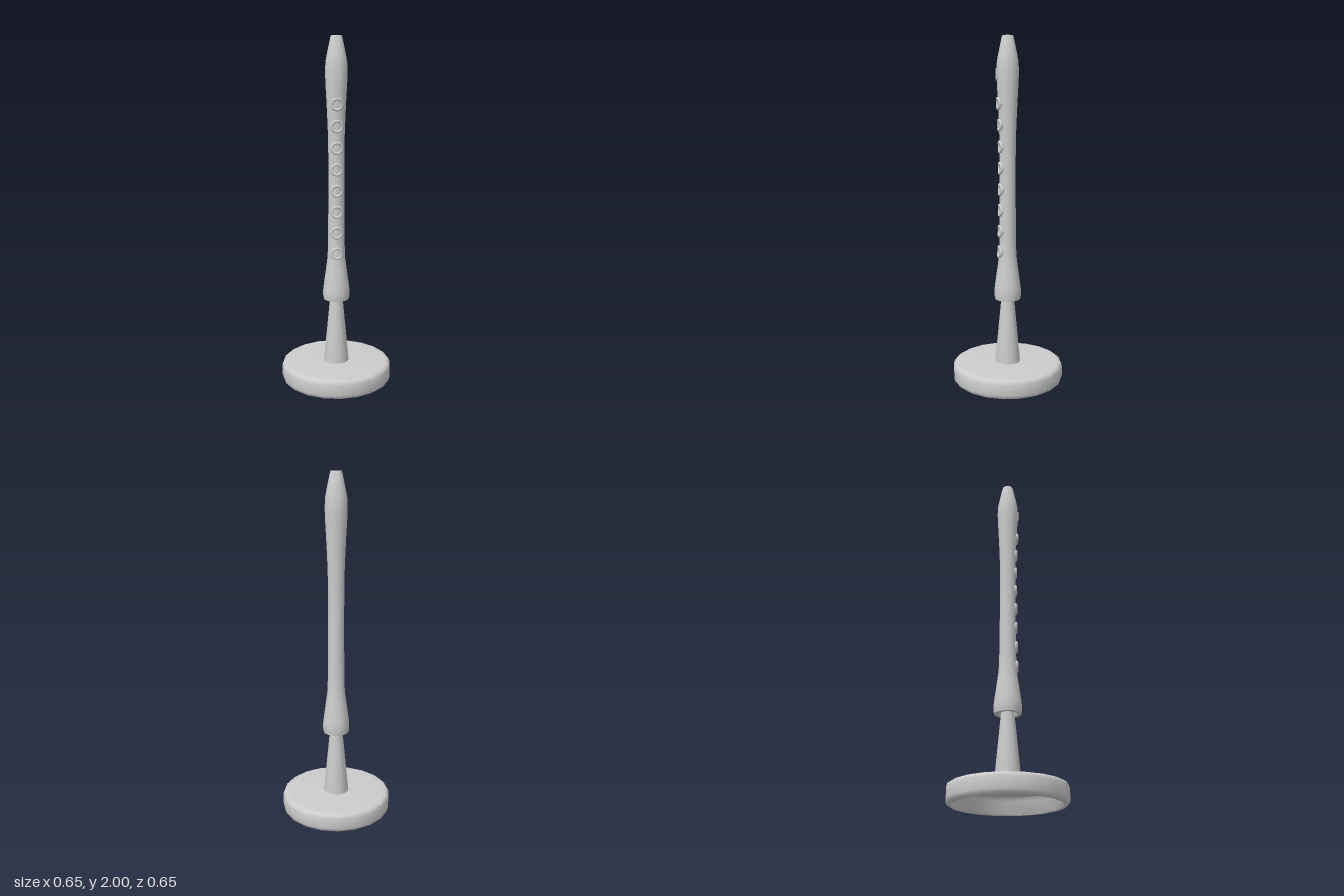
import * as THREE from 'three';
import { toCreasedNormals } from 'three/addons/utils/BufferGeometryUtils.js';

export function createModel() {
  const model = new THREE.Group();
  model.name = 'recorderOnStand';
  const grey = new THREE.MeshStandardMaterial({ color: 0xcccccc, side: THREE.DoubleSide });
  grey.name = 'plain grey';

  const add = (name, geometry, parent = model) => {
    const mesh = new THREE.Mesh(geometry, grey);
    mesh.name = name;
    parent.add(mesh);
    return mesh;
  };
  // Turned part from [radius, height] pairs, listed from the bottom up
  const turned = (profile, sides, crease = 0.75) => toCreasedNormals(
    new THREE.LatheGeometry(profile.map(([r, y]) => new THREE.Vector2(r, y)), sides), crease);

  // Base: a round dish, hollow underneath, with a softened rim
  add('standBase', turned([
    [0.06, 0.095], [0.275, 0.095], [0.288, 0.075], [0.29, 0.008], [0.296, 0],
    [0.308, 0], [0.319, 0.008], [0.324, 0.025], [0.324, 0.085],
    [0.319, 0.1], [0.308, 0.108], [0.29, 0.11], [0, 0.11],
  ], 20));

  // Tapered peg that reaches up into the bore
  add('standPeg', turned([[0.074, 0.095], [0.074, 0.11], [0.037, 0.5], [0.03, 0.58], [0, 0.58]], 20));

  // Recorder body: bore, foot bell, narrow waist, head and mouthpiece
  const body = [
    [0.048, 0.62], [0.052, 0.5], [0.056, 0.492], [0.074, 0.492], [0.078, 0.515], [0.078, 0.545],
    [0.074, 0.58], [0.06, 0.68], [0.051, 0.75], [0.048, 0.85], [0.046, 1.1],
    [0.046, 1.38], [0.049, 1.5], [0.055, 1.63], [0.061, 1.74], [0.063, 1.8],
    [0.061, 1.855], [0.055, 1.89], [0.034, 1.99], [0.03, 2], [0, 2],
  ];
  add('recorderBody', turned(body, 24));

  // Body radius at a given height, above the foot
  const radiusAt = (y) => {
    const i = body.findIndex((p, k) => k > 6 && p[1] >= y);
    const [r0, y0] = body[i - 1], [r1, y1] = body[i];
    return r0 + (r1 - r0) * (y - y0) / (y1 - y0);
  };

  // Finger holes: eight raised rings down the front
  const holes = new THREE.Group();
  holes.name = 'fingerHoles';
  model.add(holes);
  for (let i = 0; i < 8; i++) {
    const y = 0.775 + i * 0.1215;
    const ring = new THREE.TorusGeometry(0.03, 0.0075, 8, 20);
    // Wrap the ring round the body
    const p = ring.attributes.position;
    for (let k = 0; k < p.count; k++) {
      const r = radiusAt(y + p.getY(k));
      p.setZ(k, p.getZ(k) * 1.3 + 0.5 * (r + Math.sqrt(r * r - p.getX(k) ** 2)));
    }
    ring.computeVertexNormals();
    add('fingerHoleRing', ring, holes).position.y = y;
  }

  // Sound window: a small rounded frame below the mouthpiece
  const rounded = (path, w, h, c) => {
    path.moveTo(-w + c, -h);
    path.lineTo(w - c, -h); path.quadraticCurveTo(w, -h, w, -h + c);
    path.lineTo(w, h - c); path.quadraticCurveTo(w, h, w - c, h);
    path.lineTo(-w + c, h); path.quadraticCurveTo(-w, h, -w, h - c);
    path.lineTo(-w, -h + c); path.quadraticCurveTo(-w, -h, -w + c, -h);
    return path;
  };
  const frame = rounded(new THREE.Shape(), 0.02, 0.031, 0.007);
  frame.holes.push(rounded(new THREE.Path(), 0.015, 0.026, 0.004));
  const soundWindow = new THREE.ExtrudeGeometry(frame, { depth: 0.009, bevelEnabled: false, curveSegments: 3 });
  add('soundWindow', soundWindow).position.set(0, 1.79, 0.057);

  return model;
}
